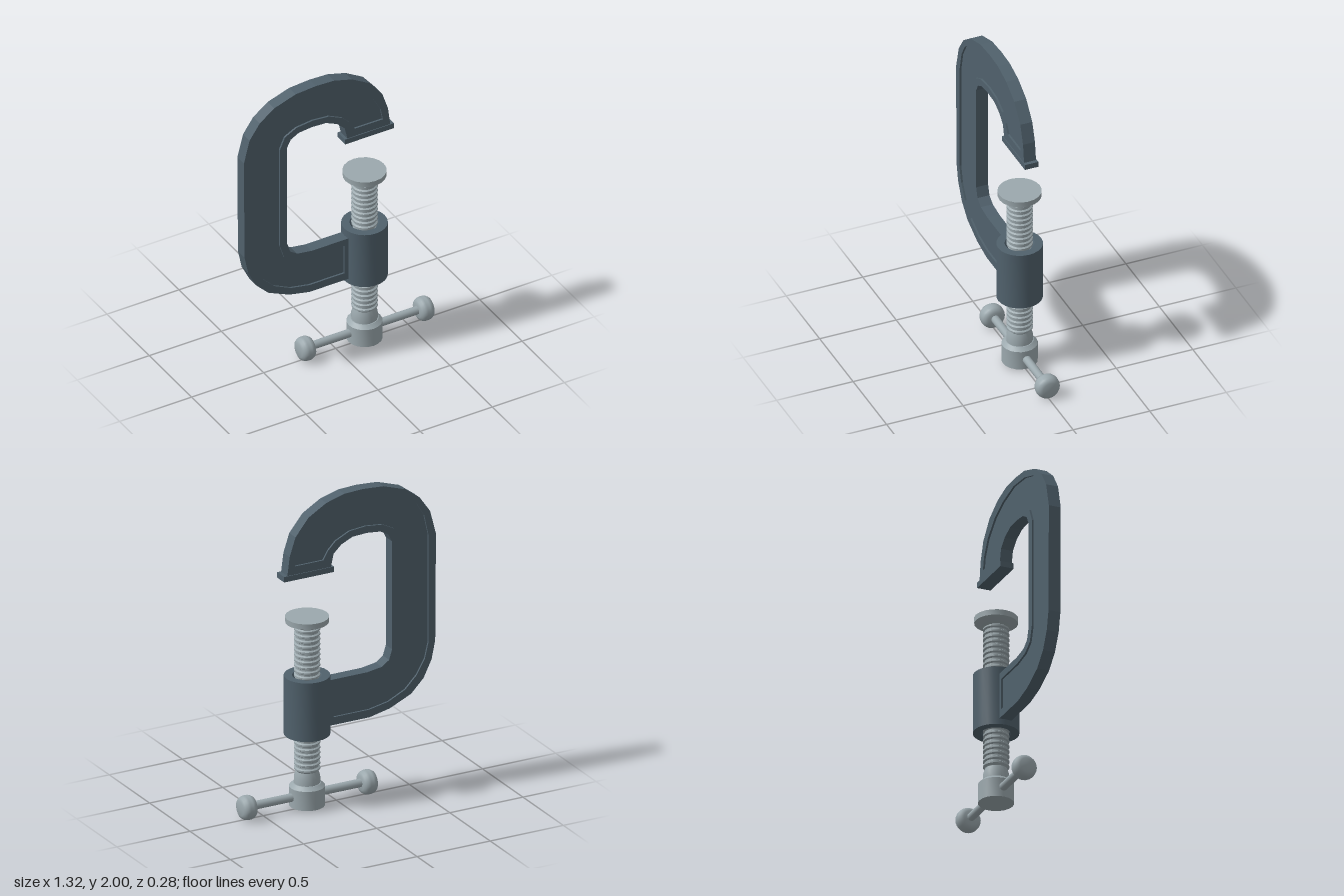
import * as THREE from 'three';
import { toCreasedNormals } from 'three/addons/utils/BufferGeometryUtils.js';

const SCREW_X = 0.2;

export function createModel() {
  const model = new THREE.Group();
  model.name = 'gClamp';

  const paint = new THREE.MeshStandardMaterial({ color: 0x50616c });
  paint.name = 'blue grey paint';
  const steel = new THREE.MeshStandardMaterial({ color: 0x9ba8ad });
  steel.name = 'pale steel';

  const add = (name, geometry, material, x = 0, y = 0, z = 0, parent = model) => {
    const mesh = new THREE.Mesh(geometry, material);
    mesh.name = name;
    mesh.position.set(x, y, z);
    parent.add(mesh);
    return mesh;
  };
  const points = (list) => list.map(([x, y]) => new THREE.Vector2(x, y));
  const lathe = (profile, sides) =>
    toCreasedNormals(new THREE.LatheGeometry(points(profile), sides), 0.6);
  const slab = (shape, half) =>
    new THREE.ExtrudeGeometry(shape, { depth: half * 2, bevelEnabled: false }).translate(0, 0, -half);

  // C-shaped frame: raised rim around a thinner web
  const outline = points([
    [0.357, 1.53], [0.34, 1.66], [0.3, 1.78], [0.21, 1.89], [0.09, 1.96], [-0.035, 1.995],
    [-0.16, 2], [-0.3, 1.99], [-0.45, 1.94], [-0.55, 1.865], [-0.62, 1.765], [-0.66, 1.61],
    [-0.655, 0.92], [-0.63, 0.8], [-0.575, 0.69], [-0.49, 0.605], [-0.345, 0.54], [-0.205, 0.51],
    [0.08, 0.51], [0.08, 0.805], [-0.19, 0.805], [-0.29, 0.82], [-0.34, 0.855], [-0.36, 0.92],
    [-0.36, 1.62], [-0.335, 1.67], [-0.28, 1.7], [-0.19, 1.71], [-0.09, 1.705], [-0.013, 1.67],
    [0.04, 1.62], [0.06, 1.53],
  ]);
  const panel = points([
    [0.305, 1.592], [0.29, 1.67], [0.235, 1.77], [0.135, 1.86], [0.025, 1.915], [-0.14, 1.955],
    [-0.3, 1.945], [-0.43, 1.905], [-0.53, 1.83], [-0.58, 1.745], [-0.61, 1.61],
    [-0.61, 0.92], [-0.585, 0.815], [-0.53, 0.72], [-0.45, 0.64], [-0.335, 0.585], [-0.205, 0.56],
    [0.04, 0.56], [0.04, 0.76], [-0.19, 0.76], [-0.31, 0.78], [-0.38, 0.825], [-0.41, 0.92],
    [-0.41, 1.62], [-0.375, 1.7], [-0.295, 1.742], [-0.18, 1.755], [-0.07, 1.745], [0.025, 1.7],
    [0.075, 1.65], [0.11, 1.592],
  ]);
  const rim = new THREE.Shape(outline);
  rim.holes.push(new THREE.Path(panel));
  const frame = new THREE.Group();
  frame.name = 'frame';
  model.add(frame);
  add('frameRim', slab(rim, 0.039), paint, 0, 0, 0, frame);
  add('frameWeb', slab(new THREE.Shape(panel), 0.027), paint, 0, 0, 0, frame);

  // Fixed jaw plate at the end of the arm
  add('fixedJaw', new THREE.BoxGeometry(0.34, 0.035, 0.088), paint, 0.21, 1.522, 0);

  // Threaded boss with countersunk ends
  add('boss', lathe([
    [0.07, 0.5], [0.09, 0.475], [0.14, 0.475], [0.14, 0.855], [0.09, 0.855], [0.07, 0.83],
  ], 24), paint, SCREW_X);

  // Screw: shoulder, ridged thread up to the swivel pad
  const screw = [[0, 0.15], [0.08, 0.15], [0.08, 0.2], [0.067, 0.238]];
  const ridges = 28, bottom = 0.238, pitch = (1.175 - bottom) / ridges;
  for (let i = 0; i < ridges; i++) {
    const y = bottom + i * pitch;
    screw.push([0.07, y + pitch * 0.15], [0.08, y + pitch * 0.35],
      [0.08, y + pitch * 0.65], [0.07, y + pitch * 0.85]);
  }
  screw.push([0.07, 1.18]);
  add('screw', lathe(screw, 20), steel, SCREW_X);

  // Swivel pad: cone under a flat disc
  add('swivelPad', lathe([
    [0, 1.17], [0.07, 1.17], [0.132, 1.2], [0.133, 1.235], [0, 1.235],
  ], 20), steel, SCREW_X);

  // Hub that carries the handle
  add('handleHub', lathe([
    [0, 0.014], [0.109, 0.014], [0.109, 0.138], [0.085, 0.16], [0, 0.16],
  ], 20), steel, SCREW_X);

  // Sliding handle bar with a rounded knob on each end
  const handle = new THREE.Group();
  handle.name = 'handle';
  handle.position.set(SCREW_X, 0.076, 0);
  model.add(handle);
  add('handleBar', new THREE.CylinderGeometry(0.026, 0.026, 0.8, 16).rotateZ(Math.PI / 2),
    steel, 0, 0.003, 0, handle);
  const knob = lathe([
    [0, -0.047], [0.045, -0.047], [0.062, -0.04], [0.072, -0.026], [0.076, -0.01],
    [0.076, 0.01], [0.072, 0.026], [0.062, 0.04], [0.045, 0.047], [0, 0.047],
  ], 24).rotateZ(Math.PI / 2);
  add('leftKnob', knob, steel, 0.411, 0, 0, handle);
  add('rightKnob', knob, steel, -0.411, 0, 0, handle);

  return model;
}
